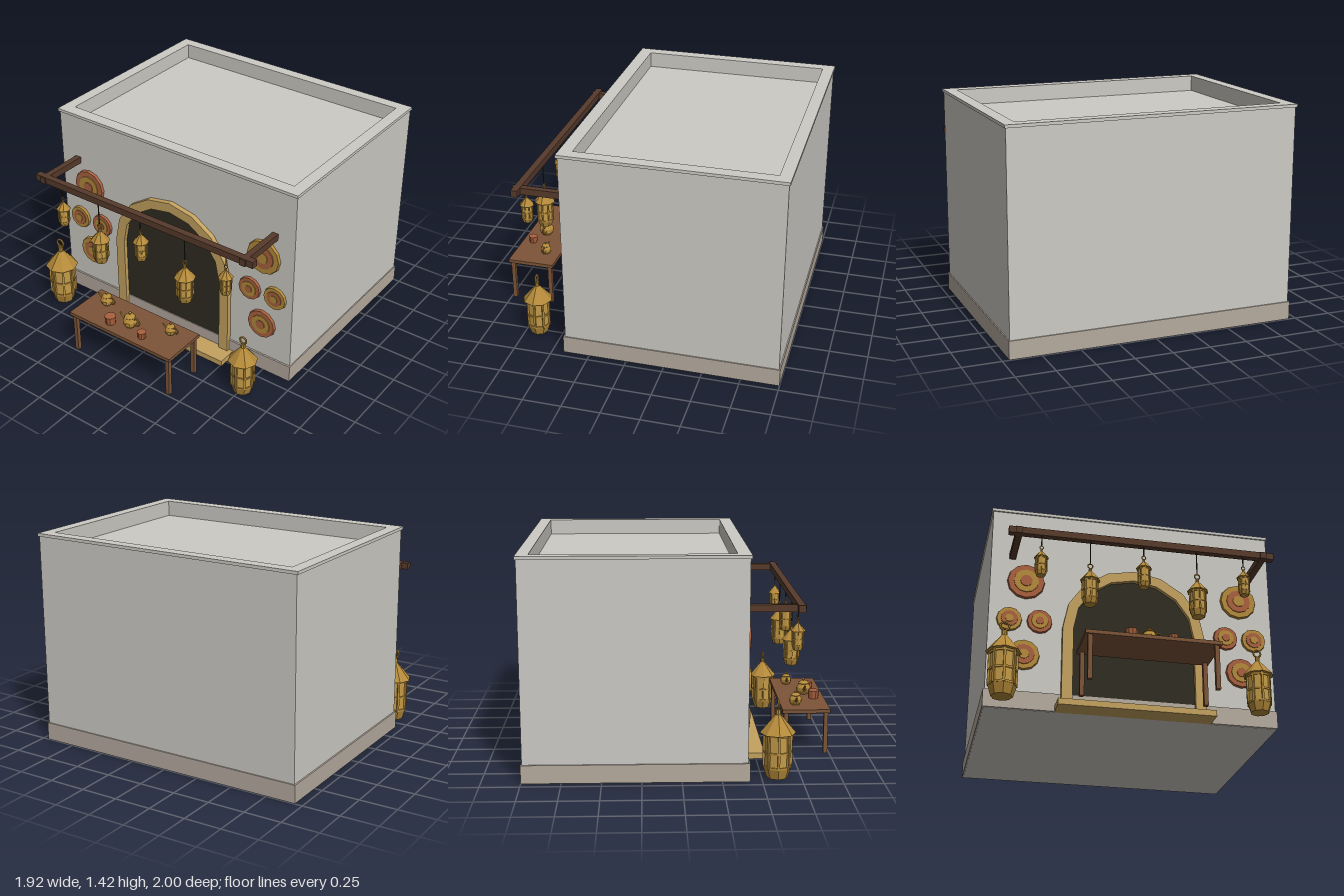
import * as THREE from 'three';

const mat = (name, color) => {
  const m = new THREE.MeshStandardMaterial({ color, flatShading: true });
  m.name = name;
  return m;
};

export function createModel() {
  const M = {
    plaster: mat('plaster', 0xcdcbc5),
    plinth: mat('plinthStone', 0xb5aa9e),
    sand: mat('sandstone', 0xc4a25f),
    dark: mat('darkInterior', 0x2e2c22),
    beam: mat('darkWood', 0x573a2b),
    wood: mat('tableWood', 0x7d5538),
    brass: mat('brass', 0xb48a3a),
    glass: mat('lanternGlass', 0xc39b48),
    clay: mat('terracotta', 0xa9613f),
  };
  const model = new THREE.Group();
  model.name = 'lanternShop';

  const add = (parent, name, geo, material, x = 0, y = 0, z = 0) => {
    const m = new THREE.Mesh(geo, material);
    m.name = name;
    m.position.set(x, y, z);
    parent.add(m);
    return m;
  };
  // Box given by its minimum and maximum corners
  const box = (parent, name, material, x0, x1, y0, y1, z0, z1) =>
    add(parent, name, new THREE.BoxGeometry(x1 - x0, y1 - y0, z1 - z0), material,
      (x0 + x1) / 2, (y0 + y1) / 2, (z0 + z1) / 2);
  const group = (name, x, y, z, s = 1) => {
    const g = new THREE.Group();
    g.name = name;
    g.position.set(x, y, z);
    g.scale.setScalar(s);
    model.add(g);
    return g;
  };

  // Rectangular frame lying flat, with the roof opening cut out
  const roofFrame = (name, x0, x1, z0, z1, y0, y1) => {
    const rect = (P, a, b, c, d) => {
      const p = new P();
      p.moveTo(a, -d); p.lineTo(b, -d); p.lineTo(b, -c); p.lineTo(a, -c); p.closePath();
      return p;
    };
    const s = rect(THREE.Shape, x0, x1, z0, z1);
    s.holes.push(rect(THREE.Path, -0.87, 0.877, -0.922, 0.335));
    const geo = new THREE.ExtrudeGeometry(s, { depth: y1 - y0, bevelEnabled: false });
    geo.rotateX(-Math.PI / 2);
    add(model, name, geo, M.plaster, 0, y0, 0);
  };

  // Building
  box(model, 'walls', M.plaster, -0.94, 0.95, 0, 1.315, -0.992, 0.41);
  roofFrame('parapet', -0.94, 0.95, -0.992, 0.41, 1.315, 1.4);
  roofFrame('parapetCap', -0.95, 0.957, -1, 0.42, 1.4, 1.42);
  box(model, 'plinth', M.plinth, -0.95, 0.957, 0.002, 0.12, -1, 0.422);

  // Doorway: faceted arch on straight jambs
  const cx = 0.007, spring = 0.577;
  const arc = (rx, ry) => Array.from({ length: 9 }, (_, i) => {
    const a = (i * Math.PI) / 8;
    return new THREE.Vector2(cx + rx * Math.cos(a), spring + ry * Math.sin(a));
  });
  const v = (x, y) => new THREE.Vector2(x, y);
  const frame = new THREE.Shape([
    v(cx + 0.4, 0.04), v(cx + 0.47, 0.04), ...arc(0.47, 0.453),
    v(cx - 0.47, 0.04), v(cx - 0.4, 0.04), ...arc(0.4, 0.385).reverse(),
  ]);
  add(model, 'archSurround',
    new THREE.ExtrudeGeometry(frame, { depth: 0.037, bevelEnabled: false }), M.sand, 0, 0, 0.408);
  const opening = new THREE.Shape([v(cx + 0.41, 0.1), ...arc(0.41, 0.395), v(cx - 0.41, 0.1)]);
  add(model, 'doorOpening',
    new THREE.ExtrudeGeometry(opening, { depth: 0.008, bevelEnabled: false }), M.dark, 0, 0, 0.408);
  box(model, 'doorstep', M.sand, -0.5, 0.51, 0, 0.04, 0.41, 0.557);

  // Lantern beam and its two wall brackets
  box(model, 'lanternBeam', M.beam, -0.866, 0.874, 1.053, 1.098, 0.713, 0.757);
  for (const x of [-0.8, 0.804])
    box(model, 'beamBracket', M.beam, x - 0.021, x + 0.021, 1.051, 1.096, 0.41, 0.766);

  // Lantern of unit height: cage, glass, conical roof and ring
  const lantern = (name, x, y, z, h) => {
    const g = group(name, x, y, z, h);
    const cyl = (n, m, rt, rb, y0, y1) =>
      add(g, n, new THREE.CylinderGeometry(rt, rb, y1 - y0, 8), m, 0, (y0 + y1) / 2, 0);
    cyl('base', M.brass, 0.175, 0.135, 0, 0.13);
    cyl('glass', M.glass, 0.165, 0.165, 0.13, 0.59);
    for (const b of [0.13, 0.32, 0.54]) cyl('band', M.brass, 0.18, 0.18, b, b + 0.028);
    for (let i = 0; i < 8; i++) {
      const a = (i * Math.PI) / 4;
      const bar = add(g, 'bar', new THREE.BoxGeometry(0.03, 0.46, 0.03), M.brass,
        0.17 * Math.sin(a), 0.36, 0.17 * Math.cos(a));
      bar.rotation.y = a;
    }
    cyl('roof', M.brass, 0.03, 0.225, 0.575, 0.81);
    cyl('neck', M.brass, 0.035, 0.035, 0.79, 0.87);
    add(g, 'ring', new THREE.TorusGeometry(0.055, 0.015, 6, 12), M.brass, 0, 0.93, 0);
  };
  lantern('floorLanternRight', -0.85, 0, 0.6, 0.505);
  lantern('floorLanternLeft', 0.755, 0, 0.665, 0.434);

  // Hanging lanterns: x, bottom y, height
  for (const [x, y, h] of [
    [-0.655, 0.773, 0.215], [-0.342, 0.603, 0.292], [0.005, 0.76, 0.232],
    [0.355, 0.588, 0.31], [0.668, 0.776, 0.213],
  ]) {
    lantern('hangingLantern', x, y, 0.738, h);
    const top = y + h * 0.97;
    add(model, 'cord', new THREE.CylinderGeometry(0.004, 0.004, 1.055 - top, 6), M.dark,
      x, (1.055 + top) / 2, 0.738);
  }

  // Wall plates of alternating rings: x, y, radius, clay rim or brass rim
  for (const [x, y, r, clayRim] of [
    [-0.706, 0.892, 0.124, 1], [-0.806, 0.613, 0.083, 0], [-0.61, 0.613, 0.083, 1],
    [-0.706, 0.371, 0.104, 0], [0.727, 0.892, 0.124, 0], [0.629, 0.613, 0.083, 1],
    [0.822, 0.613, 0.083, 0], [0.727, 0.371, 0.104, 1],
  ]) {
    const g = group('wallPlate', x, y, 0.41);
    [1, 0.68, 0.33].forEach((k, i) => {
      const depth = 0.018 + i * 0.005;
      const geo = new THREE.CylinderGeometry(r * k * 0.96, r * k, depth, 12);
      geo.rotateX(Math.PI / 2);
      add(g, 'plateRing', geo, (i + clayRim) % 2 ? M.clay : M.brass, 0, 0, depth / 2);
    });
  }

  // Table
  box(model, 'tableTop', M.wood, -0.413, 0.423, 0.283, 0.307, 0.682, 1);
  for (const x of [-0.382, 0.394])
    for (const z of [0.708, 0.974])
      box(model, 'tableLeg', M.wood, x - 0.014, x + 0.014, 0, 0.283, z - 0.014, z + 0.014);

  // Teapots of unit height: lathed body with lid, spout and handle
  const profile = [[0, 0], [0.28, 0], [0.42, 0.2], [0.43, 0.4], [0.3, 0.62], [0.33, 0.66],
    [0.2, 0.78], [0.06, 0.82], [0.1, 0.91], [0, 1]].map(([r, y]) => v(r, y));
  for (const [x, z, h] of [[-0.273, 0.783, 0.1], [0.003, 0.873, 0.115], [0.266, 0.783, 0.088]]) {
    const g = group('teapot', x, 0.307, z, h);
    add(g, 'potBody', new THREE.LatheGeometry(profile, 10), M.brass);
    const spout = add(g, 'spout', new THREE.CylinderGeometry(0.05, 0.1, 0.55, 6), M.brass,
      -0.53, 0.46, 0);
    spout.rotation.z = 0.8;
    add(g, 'handle', new THREE.TorusGeometry(0.22, 0.05, 6, 10), M.brass, 0.48, 0.42, 0);
  }

  // Clay cups
  for (const [x, z, r, h] of [[-0.12, 0.926, 0.039, 0.056], [0.141, 0.924, 0.031, 0.045]])
    add(model, 'cup', new THREE.CylinderGeometry(r, r * 0.85, h, 10), M.clay, x, 0.307 + h / 2, z);

  return model;
}
